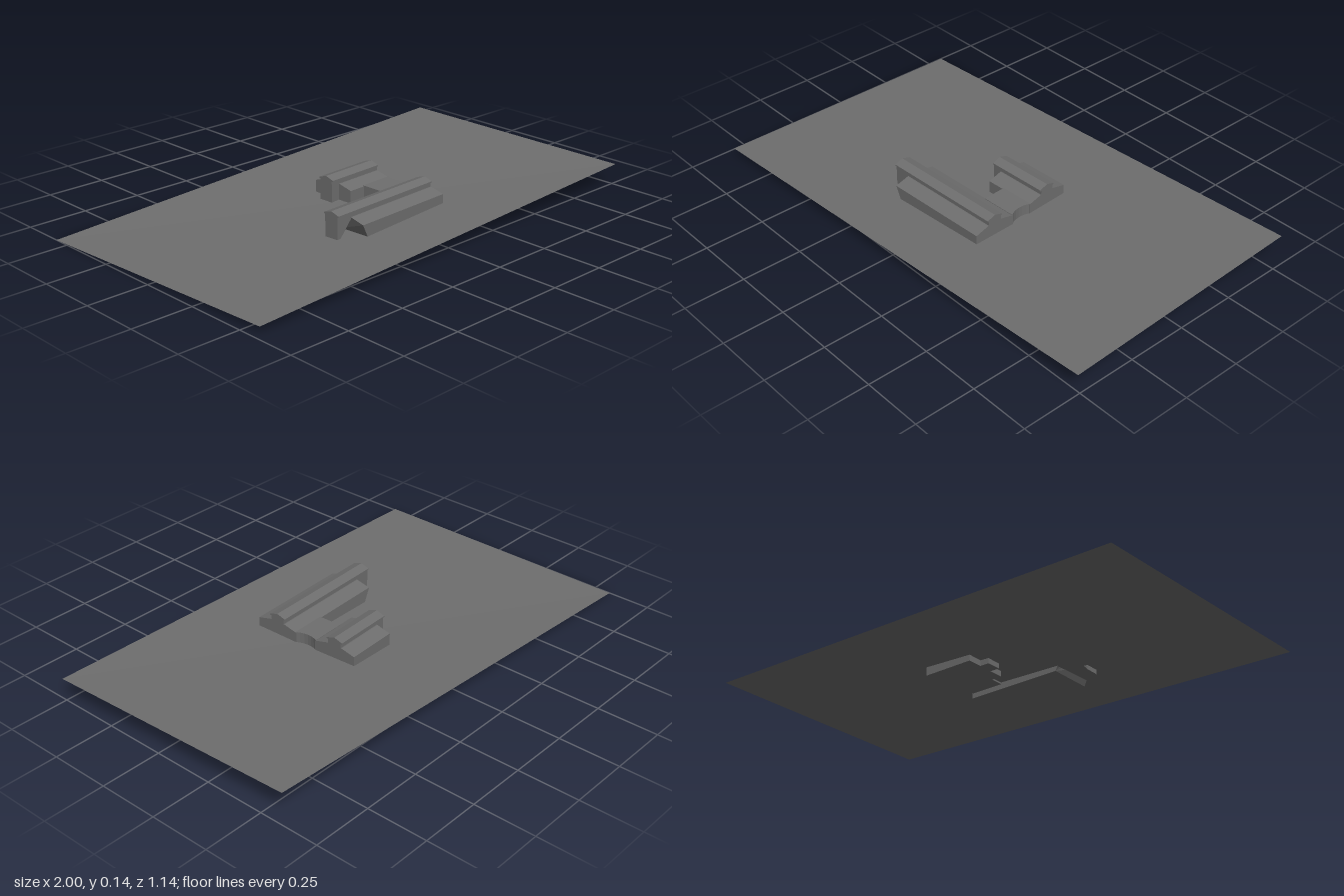
import * as THREE from 'three';

const grey = new THREE.MeshStandardMaterial({ color: 0x6e6e6e, side: THREE.DoubleSide });
grey.name = 'plain grey';

// Flat-shaded mesh from a list of convex polygons
function faces(name, polygons) {
  const pos = [];
  for (const p of polygons)
    for (let i = 1; i < p.length - 1; i++) pos.push(...p[0], ...p[i], ...p[i + 1]);
  const geo = new THREE.BufferGeometry();
  geo.setAttribute('position', new THREE.Float32BufferAttribute(pos, 3));
  geo.computeVertexNormals();
  const mesh = new THREE.Mesh(geo, grey);
  mesh.name = name;
  return mesh;
}

// Closed solid between two matching cross-sections, wound clockwise seen from +x
function loft(name, left, right) {
  const n = left.length;
  const polys = [left, [...right].reverse()];
  for (let i = 0; i < n; i++) {
    const j = (i + 1) % n;
    polys.push([left[i], right[i], right[j], left[j]]);
  }
  return faces(name, polys);
}

// Section points [z, y] placed at one x, centred on zc
const section = (x, zc, pts) => pts.map(([z, y]) => [x, y, zc + z]);

const BASE = 0.02;

// A wing: low pitched aisles with a raised gabled clerestory along the middle
function wing(name, zc, xTall, xLow, xRight, slanted) {
  const g = new THREE.Group();
  g.name = name;

  const low = [[-0.095, BASE], [-0.095, 0.095], [-0.035, 0.11], [0.035, 0.11], [0.095, 0.095], [0.095, BASE]];
  const lowLeft = section(xLow, zc, low);
  if (slanted) for (const p of lowLeft) if (p[1] === BASE) p[0] += 0.035;
  g.add(loft('lowerHall', lowLeft, section(xRight, zc, low)));

  const wall = [[-0.031, 0.1], [-0.031, 0.13], [0.031, 0.13], [0.031, 0.1]];
  g.add(loft('clerestoryWalls', section(xLow, zc, wall), section(xRight, zc, wall)));

  // Projecting end bay, with a slanted underside where the hall is cut back
  const bay = [[-0.031, BASE], [-0.031, 0.13], [0.031, 0.13], [0.031, BASE]];
  g.add(loft('endBay', section(xTall, zc, bay), section(xLow, zc, slanted ? wall : bay)));

  const roof = [[-0.037, 0.128], [-0.037, 0.133], [0, 0.145], [0.037, 0.133], [0.037, 0.128]];
  g.add(loft('clerestoryRoof', section(xTall, zc, roof), section(xRight, zc, roof)));
  return g;
}

export function createModel() {
  const model = new THREE.Group();
  model.name = 'buildingOnSlope';

  // Sloping site, folded along one diagonal
  const a = [-1, 0, -0.57], b = [0.97, 0.1, -0.57], c = [1, 0.088, 0.512], d = [-0.97, 0.025, 0.566];
  model.add(faces('ground', [[a, d, c], [a, c, b]]));

  const building = new THREE.Group();
  building.name = 'building';
  building.rotation.y = 0.045;
  building.add(wing('frontWing', 0.186, -0.32, -0.25, 0.203, true));
  building.add(wing('backWing', -0.096, -0.06, -0.02, 0.2, false));

  // Link between the wings, its outer side bowed slightly inward
  const link = new THREE.Shape();
  link.moveTo(0.055, 0.095);
  link.lineTo(0.203, 0.095);
  link.quadraticCurveTo(0.175, 0.045, 0.2, -0.005);
  link.lineTo(0.055, -0.005);
  link.closePath();
  const linkGeo = new THREE.ExtrudeGeometry(link, { depth: 0.057, bevelEnabled: false, curveSegments: 6 });
  linkGeo.rotateX(Math.PI / 2);
  const linkMesh = new THREE.Mesh(linkGeo, grey);
  linkMesh.name = 'link';
  linkMesh.position.y = 0.098;
  building.add(linkMesh);

  model.add(building);
  return model;
}
